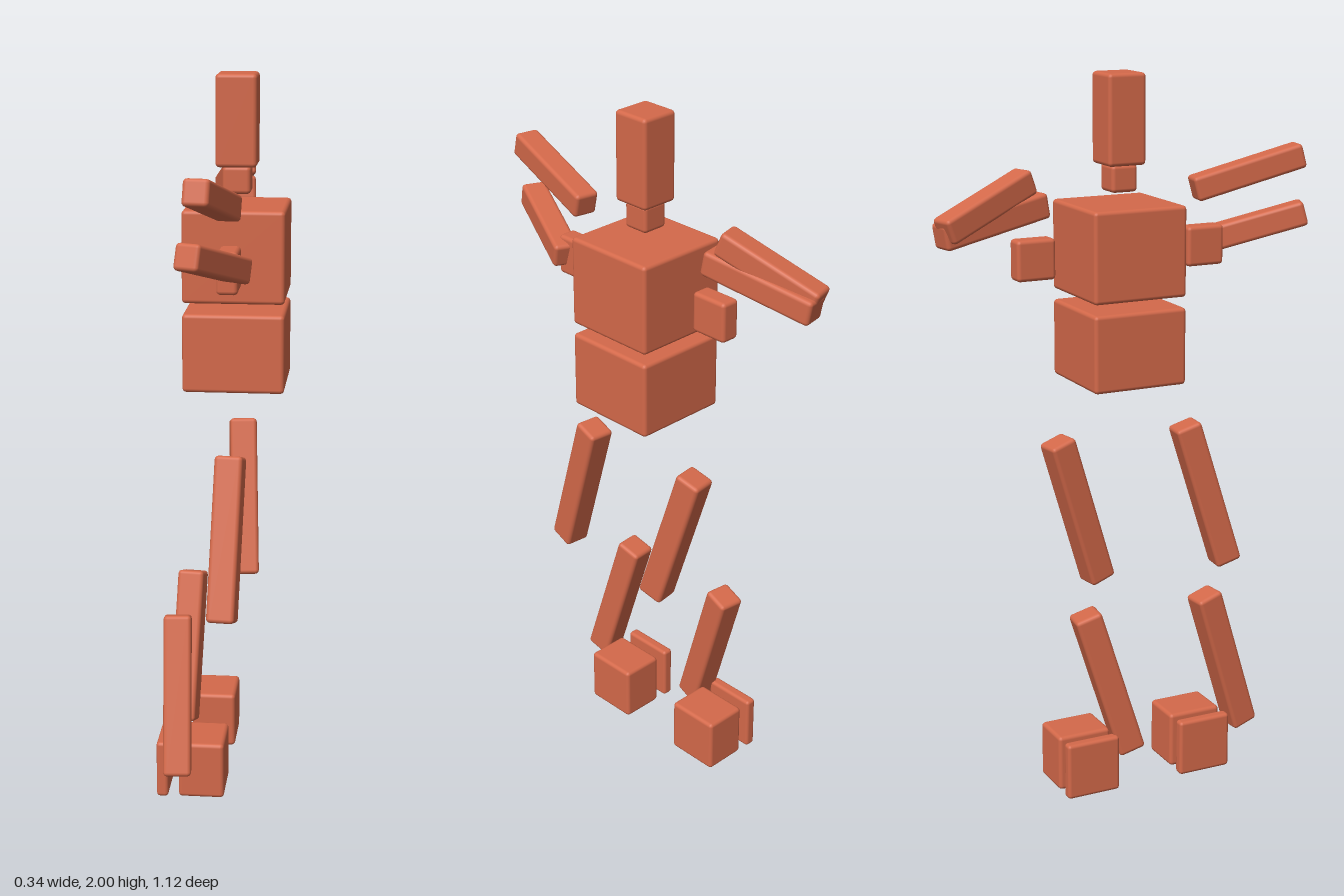
import * as THREE from 'three';
import { RoundedBoxGeometry } from 'three/addons/geometries/RoundedBoxGeometry.js';

// Blocky posed figure made of separate, softly bevelled boxes
export function createModel() {
  const group = new THREE.Group();
  group.name = 'blockFigure';
  const clay = new THREE.MeshStandardMaterial({ color: 0xd4694a });
  clay.name = 'terracotta';

  // size and centre in units, yaw (about y) and pitch (about x) in degrees
  function block(name, size, center, yaw = 0, pitch = 0) {
    const radius = Math.min(0.011, Math.min(...size) * 0.3);
    const mesh = new THREE.Mesh(new RoundedBoxGeometry(...size, 2, radius), clay);
    mesh.name = name;
    mesh.position.set(...center);
    mesh.rotation.set(THREE.MathUtils.degToRad(pitch), THREE.MathUtils.degToRad(yaw), 0, 'YXZ');
    group.add(mesh);
  }

  // Head and trunk
  const mid = 0.031;
  block('head', [0.112, 0.248, 0.112], [mid, 1.876, 0.002]);
  block('neck', [0.077, 0.075, 0.077], [mid, 1.716, 0.002]);
  block('chest', [0.278, 0.252, 0.278], [mid, 1.522, 0.002]);
  block('hips', [0.278, 0.217, 0.278], [mid, 1.258, 0.002]);

  // Shoulders
  for (const [side, z] of [['front', 0.26], ['back', -0.256]]) {
    block(side + 'Shoulder', [0.056, 0.113, 0.113], [mid, 1.511, z]);
  }

  // Arms, long axis along z
  const upperArm = [0.07, 0.07, 0.33], forearm = [0.07, 0.07, 0.3];
  block('frontUpperArm', upperArm, [0.002, 1.712, 0.388], -10, -15);
  block('frontForearm', forearm, [0.007, 1.555, 0.413], -23, -15.5);
  block('backUpperArm', upperArm, [0, 1.63, -0.386], 10.5, -10.3);
  block('backForearm', forearm, [-0.012, 1.672, -0.407], 15.5, -21.5);

  // Legs, long axis along y, with a slight opposite turn on each side
  const thigh = [0.077, 0.45, 0.079], shin = [0.077, 0.443, 0.079];
  block('frontThigh', thigh, [0.026, 0.778, 0.278], -5, -17.3);
  block('backThigh', thigh, [0.04, 0.778, -0.124], 8, -17.3);
  block('frontShin', shin, [-0.111, 0.315, 0.265], 5, -17.2);
  block('backShin', shin, [-0.122, 0.315, -0.111], -6.5, -17.2);

  // Feet with a thin toe plate
  for (const [side, z] of [['front', 0.178], ['back', -0.176]]) {
    block(side + 'Foot', [0.128, 0.162, 0.16], [-0.047, 0.083, z]);
    block(side + 'Toe', [0.033, 0.164, 0.16], [-0.157, 0.082, z]);
  }
  return group;
}
